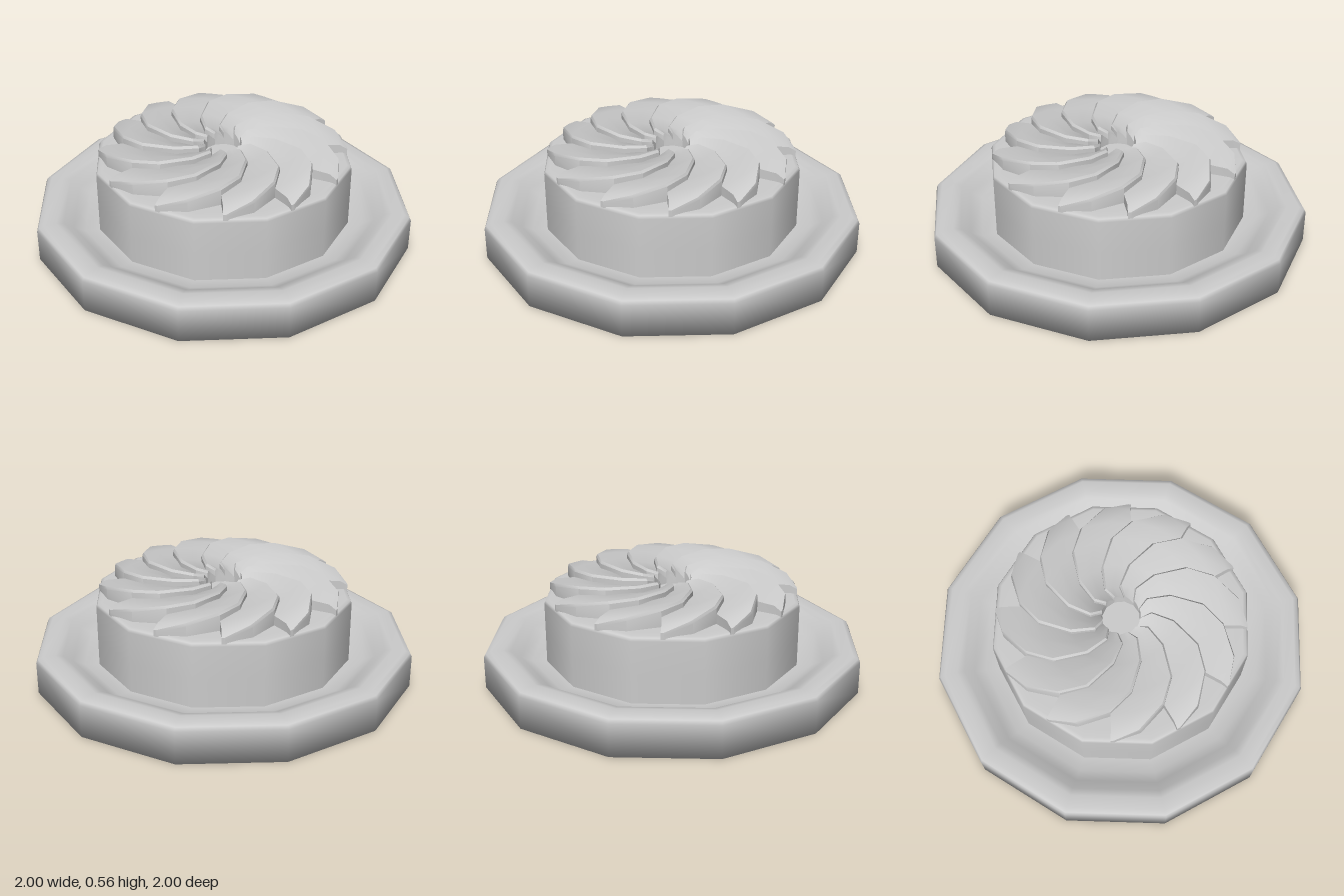
import * as THREE from 'three';
import { toCreasedNormals } from 'three/addons/utils/BufferGeometryUtils.js';

const material = new THREE.MeshStandardMaterial({ color: 0xcccccc });
const SIDES = 12;

function lathe(name, profile) {
  const points = profile.map(([r, y]) => new THREE.Vector2(r, y));
  const mesh = new THREE.Mesh(new THREE.LatheGeometry(points, SIDES), material);
  mesh.name = name;
  return mesh;
}

// One curved slice: a ring of six points at each radius, joined into a closed solid.
// Each row: radius, angle of the raised edge, angle of the tucked edge (degrees), top height.
function sliceGeometry() {
  const rows = [
    [0.10, -56, -24, 0.535],
    [0.155, -68, -32, 0.55],
    [0.27, -57, -22, 0.557],
    [0.42, -42, -7, 0.56],
    [0.52, -29, 1, 0.553],
    [0.61, -14, 0, 0.525],
    [0.65, -1.5, 0, 0.485],
  ];
  const floor = 0.45, n = 6;
  const positions = [], index = [];
  for (const [r, a0, a1, h] of rows) {
    const span = a1 - a0;
    const drop = Math.min(0.045, span * 0.0014);
    const bevel = Math.min(0.1, 0.012 / (r * THREE.MathUtils.degToRad(span)));
    const section = [
      [0, floor], [0, h - 0.012], [bevel, h],
      [0.5, h - drop * 0.45], [1, h - drop], [1, floor],
    ];
    for (const [t, y] of section) {
      const a = THREE.MathUtils.degToRad(a0 + span * t);
      positions.push(r * Math.cos(a), y, r * Math.sin(a));
    }
  }
  for (let i = 0; i < rows.length - 1; i++) {
    for (let j = 0; j < n; j++) {
      const a = i * n + j, b = i * n + (j + 1) % n;
      index.push(a, b, b + n, a, b + n, a + n);
    }
  }
  // End caps
  const last = (rows.length - 1) * n;
  for (let k = 1; k < n - 1; k++) {
    index.push(0, k + 1, k, last, last + k, last + k + 1);
  }
  const geometry = new THREE.BufferGeometry();
  geometry.setAttribute('position', new THREE.Float32BufferAttribute(positions, 3));
  geometry.setIndex(index);
  return toCreasedNormals(geometry, THREE.MathUtils.degToRad(35));
}

export function createModel() {
  const model = new THREE.Group();
  model.name = 'cakeOnPlate';

  // Dished plate with a rounded rim
  model.add(lathe('plate', [
    [0, 0], [1, 0], [1, 0.17], [0.99, 0.19], [0.965, 0.2], [0.9, 0.2],
    [0.86, 0.19], [0.81, 0.155], [0.75, 0.125], [0.66, 0.115], [0, 0.115],
  ]));

  // Cake body
  model.add(lathe('cakeBody', [
    [0.675, 0.1], [0.675, 0.27], [0.675, 0.44], [0.668, 0.455], [0.65, 0.46], [0.6, 0.46], [0, 0.46],
  ]));

  // Overlapping swirl of slices on top
  const topping = new THREE.Group();
  topping.name = 'topping';
  const geometry = sliceGeometry();
  for (let i = 0; i < 12; i++) {
    const slice = new THREE.Mesh(geometry, material);
    slice.name = 'slice';
    slice.rotation.y = THREE.MathUtils.degToRad(72 - i * 30);
    topping.add(slice);
  }
  model.add(topping);
  return model;
}
